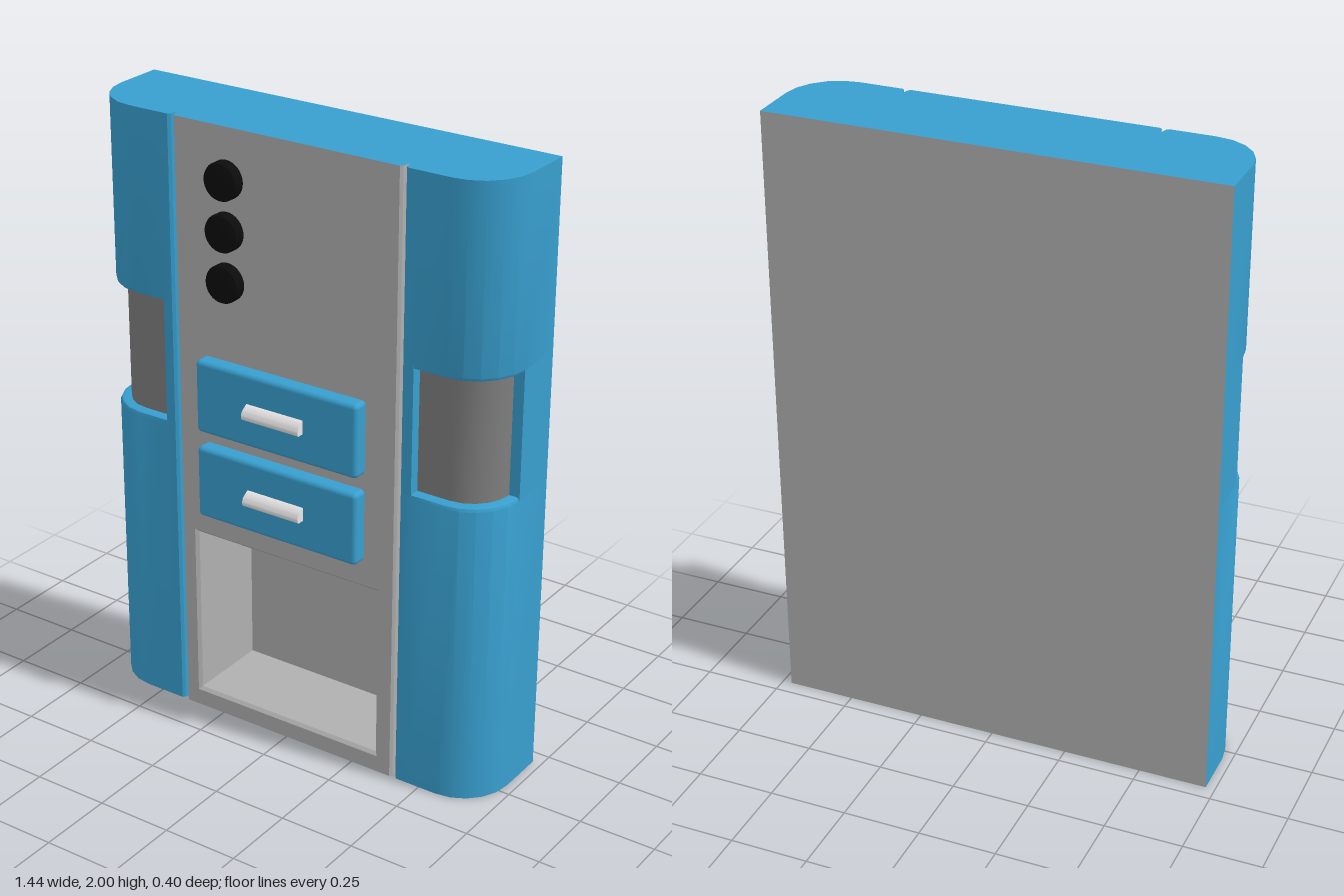
import * as THREE from 'three';
import { toCreasedNormals } from 'three/addons/utils/BufferGeometryUtils.js';
import { RoundedBoxGeometry } from 'three/addons/geometries/RoundedBoxGeometry.js';

const HEIGHT = 2, FRONT = 0.125, BACK = -0.2;

function mat(name, color, side = THREE.FrontSide) {
  const m = new THREE.MeshStandardMaterial({ color, side });
  m.name = name;
  return m;
}

// Skin stretched over rows of [x, y, z] points
function surface(rows) {
  const n = rows[0].length, index = [];
  for (let i = 0; i < rows.length - 1; i++)
    for (let j = 0; j < n - 1; j++) {
      const a = i * n + j, d = a + n;
      index.push(a, a + 1, d + 1, a, d + 1, d);
    }
  const g = new THREE.BufferGeometry();
  g.setAttribute('position', new THREE.Float32BufferAttribute(rows.flat(2), 3));
  g.setIndex(index);
  return toCreasedNormals(g, 0.5);
}

// Plan-view [x, z] curves of the left half, running from the middle to the back
const panelEdge = [[0.392, FRONT], [0.399, 0.117], [0.404, 0.09]];
const grooveEdge = [[0.404, 0.09], [0.41, 0.117], [0.418, FRONT], [0.45, FRONT]];
const sideEdge = [[0.72, -0.04], [0.72, BACK]];

function corner(inset) {
  const pts = [[0.45, FRONT - inset]];
  for (let i = 0; i <= 5; i++) {
    const a = (Math.PI / 2) * (1 - i / 5);
    pts.push([0.56 + (0.16 - inset) * Math.cos(a), -0.04 + (0.165 - inset) * Math.sin(a)]);
  }
  return pts;
}

const mirror = (pts) => pts.map(([x, z]) => [-x, z]).reverse();
const atHeight = (pts, y) => pts.map(([x, z]) => [x, y, z]);

export function createModel() {
  const model = new THREE.Group();
  const blue = mat('blue', 0x389fcf, THREE.DoubleSide);
  const grey = mat('panel grey', 0xb0b0b0, THREE.DoubleSide);
  const darkGrey = mat('niche grey', 0x7e7e7e, THREE.DoubleSide);
  const black = mat('black', 0x0c0c0c);
  const white = mat('handle white', 0xe8e6e6);

  function add(name, geometry, material, x = 0, y = 0, z = 0) {
    const mesh = new THREE.Mesh(geometry, material);
    mesh.name = name;
    mesh.position.set(x, y, z);
    model.add(mesh);
    return mesh;
  }

  // Side columns: height and inset of each section, with a niche halfway up
  const sections = [
    [0, 0], [0.988, 0], [0.997, 0.004], [1, 0.012], [1, 0.038],
    [1.4, 0.038], [1.4, 0.012], [1.403, 0.004], [1.412, 0], [HEIGHT, 0],
  ];
  for (const [side, flip] of [['left', (p) => p], ['right', mirror]]) {
    const columnRow = ([y, d]) => atHeight(flip([...grooveEdge, ...corner(d), ...sideEdge]), y);
    add(side + 'Column', surface(sections.map(columnRow)), blue);
    add(side + 'NicheLining', surface([1, 1.4].map((y) => atHeight(flip(corner(0.035)), y))), darkGrey);
    add(side + 'PanelEdge', surface([0, HEIGHT].map((y) => atHeight(flip(panelEdge), y))), grey);
  }

  // Top, bottom and back
  const half = [...panelEdge, ...grooveEdge.slice(1), ...corner(0).slice(1), sideEdge[1]];
  const outline = [...half, ...mirror(half)];
  const cap = (sign) => new THREE.ShapeGeometry(
    new THREE.Shape(outline.map(([x, z]) => new THREE.Vector2(x, -sign * z)))
  ).rotateX(-sign * Math.PI / 2);
  add('top', cap(1), blue, 0, HEIGHT);
  add('bottom', cap(-1), blue);
  add('backPanel', new THREE.PlaneGeometry(1.44, HEIGHT).rotateY(Math.PI), grey, 0, 1, BACK);

  // Front panel with an open compartment
  const x0 = -0.35, x1 = 0.345, y0 = 0.055, y1 = 0.648, depth = -0.16;
  const ring = (z, d) => [
    [x0 + d, y0 + d, z], [x1 - d, y0 + d, z], [x1 - d, y1 - d, z],
    [x0 + d, y1 - d, z], [x0 + d, y0 + d, z],
  ];
  const rectangle = (Type, l, b, r, t) => new Type(
    [[l, b], [r, b], [r, t], [l, t]].map(([x, y]) => new THREE.Vector2(x, y)));
  const face = rectangle(THREE.Shape, -0.392, 0, 0.392, HEIGHT);
  face.holes.push(rectangle(THREE.Path, x0, y0, x1, y1));
  add('frontPanel', new THREE.ShapeGeometry(face), grey, 0, 0, FRONT);
  add('compartmentWalls', surface([ring(FRONT, 0), ring(FRONT - 0.01, 0.01), ring(depth, 0.01)]), grey);
  add('compartmentBack', new THREE.PlaneGeometry(x1 - x0, y1 - y0), grey,
    (x0 + x1) / 2, (y0 + y1) / 2, depth);

  // Drawers with wedge-shaped pulls
  const pull = new THREE.Shape();
  pull.moveTo(-0.165, -0.022);
  pull.lineTo(-0.192, -0.022);
  pull.quadraticCurveTo(-0.2, -0.022, -0.2, -0.012);
  pull.quadraticCurveTo(-0.2, 0.002, -0.194, 0.007);
  pull.lineTo(-0.172, 0.022);
  pull.lineTo(-0.165, 0.022);
  const pullGeometry = toCreasedNormals(
    new THREE.ExtrudeGeometry(pull, { depth: 0.206, bevelEnabled: false, curveSegments: 4 })
      .rotateY(Math.PI / 2), 0.6);
  const drawerGeometry = new RoundedBoxGeometry(0.588, 0.24, 0.09, 3, 0.015);
  for (const [name, y] of [['upper', 1.14], ['lower', 0.85]]) {
    add(name + 'Drawer', drawerGeometry, blue, -0.006, y, 0.127);
    add(name + 'Handle', pullGeometry, white, -0.108, y + 0.002, 0);
  }

  // Round buttons with a softened rim
  const buttonProfile = [[0.06, 0], [0.06, 0.028], [0.057, 0.034], [0.052, 0.036], [0, 0.036]]
    .map(([r, h]) => new THREE.Vector2(r, h));
  const button = toCreasedNormals(new THREE.LatheGeometry(buttonProfile, 32).rotateX(Math.PI / 2), 0.6);
  [1.84, 1.68, 1.52].forEach((y, i) => add('button' + (i + 1), button, black, -0.205, y, FRONT));

  return model;
}
